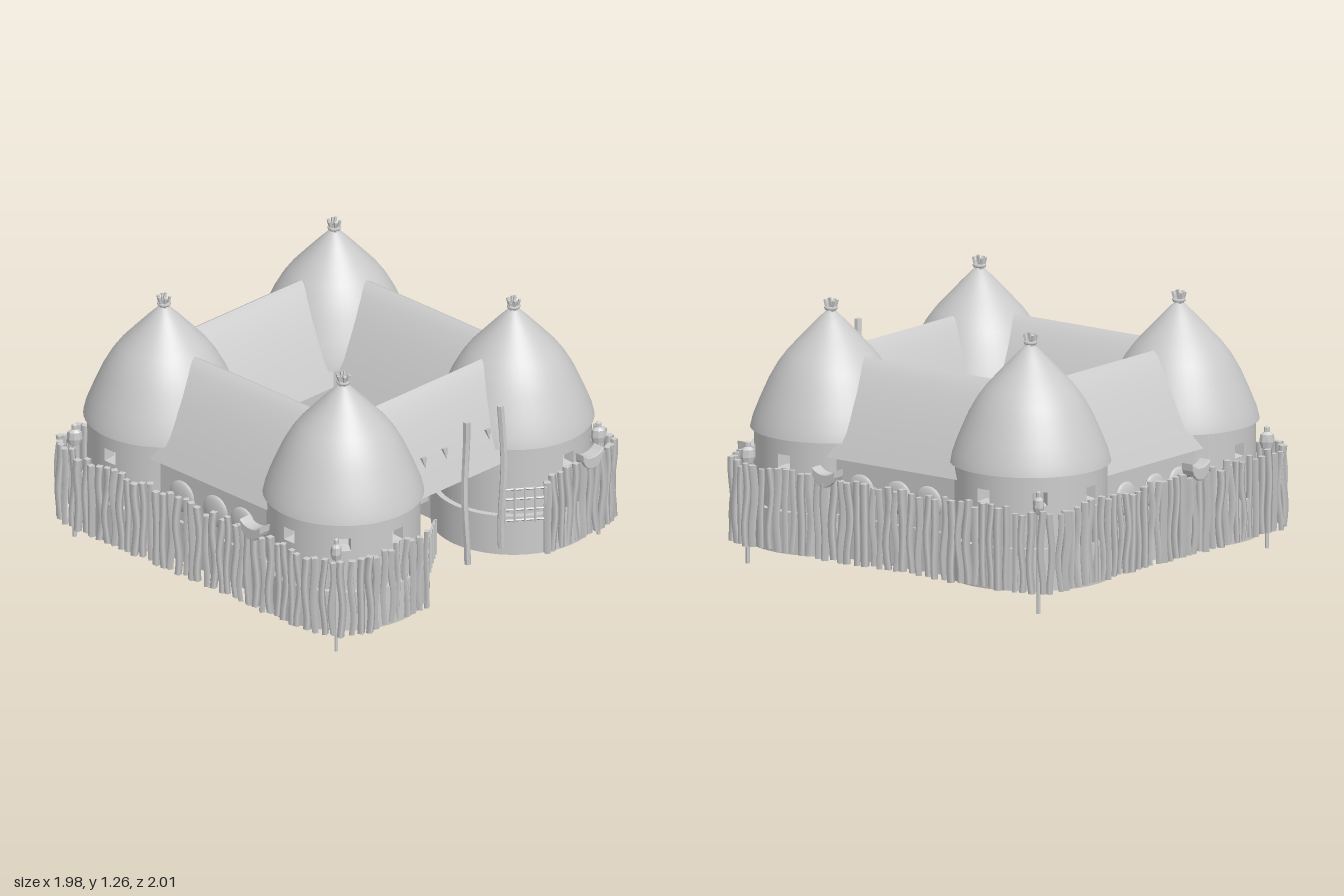
import * as THREE from 'three';
import { mergeGeometries } from 'three/addons/utils/BufferGeometryUtils.js';

const grey = new THREE.MeshStandardMaterial({ color: 0xcccccc, side: THREE.DoubleSide });
const facet = new THREE.MeshStandardMaterial({ color: 0xcccccc, side: THREE.DoubleSide, flatShading: true });

let seed = 7;
const rnd = () => (seed = (seed * 16807) % 2147483647) / 2147483647;
const vary = (a) => (rnd() * 2 - 1) * a;

function add(parent, name, geo, x = 0, y = 0, z = 0, mat = grey) {
  const m = new THREE.Mesh(geo, mat);
  m.name = name;
  m.position.set(x, y, z);
  parent.add(m);
  return m;
}
function group(parent, name, x = 0, y = 0, z = 0, turn = 0) {
  const g = new THREE.Group();
  g.name = name;
  g.position.set(x, y, z);
  g.rotation.y = turn;
  parent.add(g);
  return g;
}
const lathe = (pts, n) => new THREE.LatheGeometry(pts.map(([r, y]) => new THREE.Vector2(r, y)), n);

// Crooked wooden pole with its foot at y = 0
function crookedPole(h, r, bend, sides) {
  const g = new THREE.CylinderGeometry(r, r * 0.9, h, sides, 7).translate(0, h / 2, 0).rotateY(rnd() * 6.3);
  const p = g.attributes.position, a = rnd() * 6.3, b = rnd() * 6.3;
  for (let i = 0; i < p.count; i++) {
    const t = p.getY(i) / h;
    p.setX(i, p.getX(i) + bend * Math.sin(t * 7 + a));
    p.setZ(i, p.getZ(i) + bend * Math.sin(t * 6 + b));
  }
  return g;
}

// Round hut: wide plinth with a floor, wall with window gaps, domed thatch, tied sticks on top
function tower(parent, sx, sz) {
  const g = group(parent, 'tower', 0.565 * sx, 0, 0.59 * sz);
  const R = 0.36, step = Math.PI / 32;
  add(g, 'plinth', new THREE.CylinderGeometry(0.388, 0.388, 0.2, 64, 1, true), 0, 0.2, 0);
  add(g, 'floor', new THREE.CircleGeometry(0.388, 64).rotateX(-Math.PI / 2), 0, 0.3, 0);
  add(g, 'lowerWall', new THREE.CylinderGeometry(R, R, 0.2, 64, 1, true), 0, 0.4, 0);
  add(g, 'upperWall', new THREE.CylinderGeometry(R, R, 0.075, 64, 1, true), 0, 0.6025, 0);
  const mid = Math.atan2(sx, sz);
  for (let i = -1; i <= 1; i++) {
    const a = mid + i * Math.PI / 4;
    const segs = i < 1 ? 6 : 46;
    add(g, 'windowWall', new THREE.CylinderGeometry(R, R, 0.065, segs, 1, true, a + step, segs * step), 0, 0.5325, 0);
    // Splayed window reveal
    const reveal = new THREE.CylinderGeometry(0.7071, 0.45, 1, 4, 1, true).rotateY(Math.PI / 4).rotateX(Math.PI / 2);
    const w = group(g, 'window', R * Math.sin(a), 0.5325, R * Math.cos(a), a);
    add(w, 'windowReveal', reveal, 0, 0, -0.027, facet).scale.set(0.07, 0.065, 0.05);
  }
  add(g, 'thatchRoof', lathe([[0.378, 0.64], [0.366, 0.69], [0.336, 0.765], [0.292, 0.865],
    [0.25, 0.94], [0.206, 1.0], [0.146, 1.065], [0.08, 1.135], [0.03, 1.185], [0, 1.2]], 48));
  add(g, 'eaveSoffit', new THREE.RingGeometry(0.345, 0.378, 48).rotateX(Math.PI / 2), 0, 0.64, 0);
  add(g, 'roofTie', new THREE.TorusGeometry(0.024, 0.009, 6, 12).rotateX(Math.PI / 2), 0, 1.205, 0);
  for (let i = 0; i < 6; i++) {
    const a = i * Math.PI / 3, r = i ? 0.022 : 0;
    const s = add(g, 'roofStick', new THREE.CylinderGeometry(0.008, 0.008, i ? 0.06 : 0.085, 5), r * Math.cos(a), 1.215, r * Math.sin(a), facet);
    s.rotation.set(0.25 * Math.sin(a), 0, -0.25 * Math.cos(a));
  }
}

// Curved roof between two towers, ridge along x
function wing(parent, name, x, z, turn, len, half) {
  const g = group(parent, name, x, 0, z, turn);
  for (const side of [0, Math.PI]) {
    const slope = new THREE.PlaneGeometry(len, 1, 1, 12);
    const p = slope.attributes.position;
    for (let i = 0; i < p.count; i++) {
      const s = 0.5 - p.getY(i);
      p.setXYZ(i, p.getX(i), 1 - 0.43 * Math.pow(s, 1.4), half * s);
    }
    slope.computeVertexNormals();
    add(g, 'roofSlope', slope).rotation.y = side;
  }
  return g;
}

// Long house body: plinth, floor and walls, with round shields hung outside
function houseBody(g, len) {
  for (const s of [-1, 1]) {
    add(g, 'plinth', new THREE.PlaneGeometry(len, 0.2), 0, 0.2, 0.28 * s);
    add(g, 'wall', new THREE.PlaneGeometry(len, 0.32), 0, 0.46, 0.262 * s);
  }
  add(g, 'floor', new THREE.PlaneGeometry(len, 0.56).rotateX(-Math.PI / 2), 0, 0.3, 0);
  for (const x of [-0.2, 0.02, 0.2])
    add(g, 'shield', new THREE.SphereGeometry(0.08, 16, 10), x, 0.43, 0.268).scale.set(1, 1, 0.25);
}

// Carved mask on a thin pole
function maskPole(parent, x, z, turn) {
  const g = group(parent, 'maskPole', x, 0, z, turn);
  add(g, 'pole', new THREE.CylinderGeometry(0.01, 0.01, 0.5, 6), 0, 0.25, 0, facet);
  const mask = lathe([[0, 0.47], [0.02, 0.48], [0.027, 0.51], [0.024, 0.545], [0.011, 0.558], [0.011, 0.58], [0, 0.588]], 8);
  add(g, 'mask', mask, 0, 0, 0, facet).scale.z = 1.35;
}

// Curved hide slung over the fence, with upturned tips
function slungHide(parent, x, z, turn) {
  const s = new THREE.Shape();
  s.moveTo(-0.065, 0.54);
  s.quadraticCurveTo(-0.04, 0.515, 0, 0.515);
  s.quadraticCurveTo(0.04, 0.515, 0.065, 0.54);
  s.bezierCurveTo(0.065, 0.435, -0.065, 0.435, -0.065, 0.54);
  const geo = new THREE.ExtrudeGeometry(s, { depth: 0.055, bevelEnabled: true, bevelSize: 0.004, bevelThickness: 0.006, bevelSegments: 2, curveSegments: 10 });
  add(group(parent, 'slungHide', x, 0, z, turn), 'hide', geo.translate(0, 0, -0.0275));
}

export function createModel() {
  const root = new THREE.Group();
  root.name = 'palisadeVillage';

  for (const sx of [-1, 1]) for (const sz of [-1, 1]) tower(root, sx, sz);

  houseBody(wing(root, 'leftWing', 0.57, 0, Math.PI / 2, 0.8, 0.293), 0.8);
  houseBody(wing(root, 'rightWing', -0.57, 0, -Math.PI / 2, 0.8, 0.293), 0.8);
  houseBody(wing(root, 'backWing', 0, -0.6, Math.PI, 0.74, 0.29), 0.74);
  wing(root, 'gateRoof', 0, 0.585, 0, 0.74, 0.23);
  add(root, 'backDoor', new THREE.BoxGeometry(0.11, 0.26, 0.02), 0, 0.43, -0.33);
  add(root, 'doorStep', new THREE.BoxGeometry(0.08, 0.08, 0.03), 0, 0.265, -0.31);

  // Horn pegs on the gate roof
  for (const x of [-0.21, -0.07, 0.075, 0.215]) for (const s of [-1, 1]) {
    const peg = add(root, 'roofPeg', new THREE.ConeGeometry(0.016, 0.055, 6), x, 0.72, 0.585 + s * 0.187, facet);
    peg.rotation.x = Math.PI - s * 0.3;
  }

  // Stake fence, open at the front gate
  const path = new THREE.Path();
  path.moveTo(0.4, 0.972);
  path.lineTo(0.7, 0.972);
  path.quadraticCurveTo(0.962, 0.972, 0.962, 0.72);
  path.lineTo(0.962, -0.82);
  path.quadraticCurveTo(0.962, -0.975, 0.8, -0.975);
  path.lineTo(-0.8, -0.975);
  path.quadraticCurveTo(-0.962, -0.975, -0.962, -0.82);
  path.lineTo(-0.962, 0.72);
  path.quadraticCurveTo(-0.962, 0.972, -0.7, 0.972);
  path.lineTo(-0.4, 0.972);
  const stakes = path.getSpacedPoints(142).map((p) =>
    crookedPole(0.385 + vary(0.018), 0.02 + vary(0.003), 0.006, 4).translate(p.x + vary(0.005), 0.11 + vary(0.006), p.y + vary(0.005)));
  add(root, 'stakeFence', mergeGeometries(stakes));

  // Tall gate posts
  for (const x of [-0.13, 0.11])
    add(root, 'gatePost', crookedPole(0.74, 0.018, 0.007, 6), x, 0.235, 0.965, facet);

  for (const s of [-1, 1]) {
    // Lattice panels standing on the plinths beside the gate
    const lattice = group(root, 'latticePanel', 0.31 * s, 0.375, 0.915, -s * 0.64);
    for (const y of [-0.08, -0.025, 0.03, 0.08])
      add(lattice, 'latticeRail', new THREE.CylinderGeometry(0.006, 0.006, 0.21, 5).rotateZ(Math.PI / 2), 0, y, 0, facet);
    for (let i = 0; i < 5; i++)
      add(lattice, 'latticeBar', new THREE.CylinderGeometry(0.006, 0.006, 0.18, 5), -0.096 + i * 0.048, 0, 0.008, facet);

    // Mask poles at the outer corners and along the courtyard
    for (const z of [-1, 1]) {
      maskPole(root, 0.87 * s, z < 0 ? -0.875 : 0.845, Math.atan2(s, z));
      maskPole(root, 0.23 * s, 0.15 * z, 0);
    }

    // Cooking pots with stirring sticks
    const pot = group(root, 'pot', 0.147 * s, 0, -0.24);
    add(pot, 'potBody', lathe([[0, 0.29], [0.045, 0.295], [0.065, 0.34], [0.062, 0.39], [0.048, 0.425], [0, 0.43]], 8), 0, 0, 0, facet);
    for (let i = 0; i < 3; i++) {
      const a = i * 2.1 + 0.5;
      const stick = add(pot, 'potStick', new THREE.BoxGeometry(0.045, 0.01, 0.01), 0.035 * Math.cos(a), 0.43, 0.035 * Math.sin(a), facet);
      stick.rotation.y = -a;
    }

    // Courtyard crates with diagonal slats
    const crate = group(root, 'crate', 0.192 * s, 0, 0.27);
    add(crate, 'crateBox', new THREE.BoxGeometry(0.13, 0.16, 0.13), 0, 0.29, 0);
    for (const d of [-0.02, 0.02])
      add(crate, 'crateSlat', new THREE.BoxGeometry(0.13, 0.012, 0.014), d * s, 0.375, d, facet).rotation.y = s * Math.PI / 4;
  }

  // Hides slung over the fence
  slungHide(root, 0.685, 0.965, 0);
  slungHide(root, -0.22, -0.96, 0);
  slungHide(root, 0.95, 0.31, Math.PI / 2);
  slungHide(root, -0.95, 0.39, Math.PI / 2);
  return root;
}
